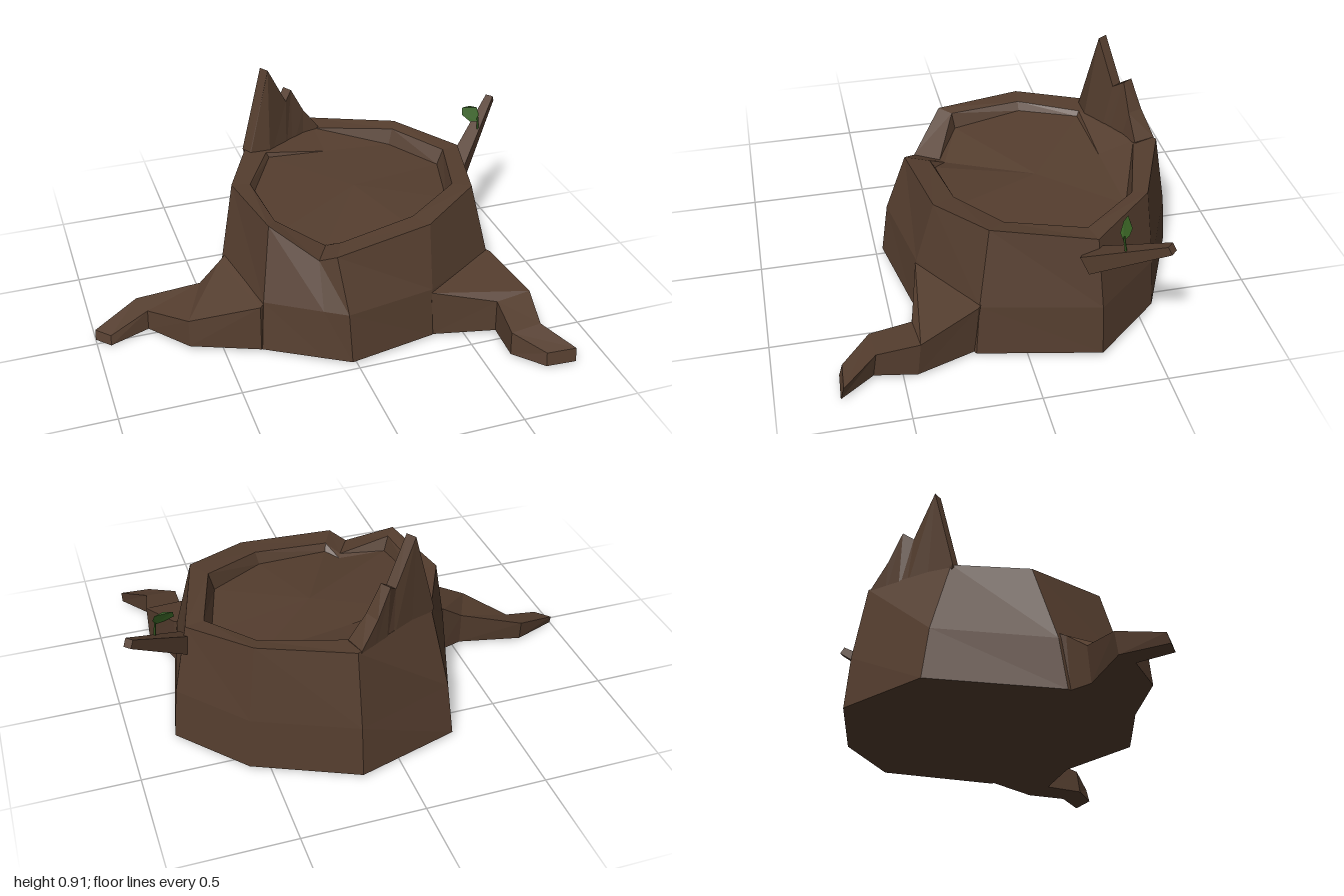
import * as THREE from 'three';

const bark = new THREE.MeshStandardMaterial({ color: 0x543d2e, flatShading: true });
bark.name = 'barkBrown';
const green = new THREE.MeshStandardMaterial({ color: 0x386224, flatShading: true, side: THREE.DoubleSide });
green.name = 'leafGreen';

// Skin a sequence of closed rings, each an array of [x, y, z]
function loft(rings) {
  const pos = [];
  for (let k = 0; k < rings.length - 1; k++) {
    const a = rings[k], b = rings[k + 1], n = a.length;
    for (let i = 0; i < n; i++) {
      const j = (i + 1) % n;
      pos.push(...a[i], ...b[i], ...b[j], ...a[i], ...b[j], ...a[j]);
    }
  }
  const g = new THREE.BufferGeometry();
  g.setAttribute('position', new THREE.Float32BufferAttribute(pos, 3));
  g.computeVertexNormals();
  return g;
}

const point = (n, p) => Array.from({ length: n }, () => p);
const mix = (a, b, t) => a.map((v, i) => v + (b[i] - v) * t);

// Close both ends of a four-cornered strip to its middle
function closedStrip(rings) {
  const mid = r => r.reduce((s, p) => s.map((v, i) => v + p[i] / r.length), [0, 0, 0]);
  const last = rings[rings.length - 1];
  return loft([point(4, mid(rings[0])), ...rings, point(4, mid(last))]);
}

function addMesh(parent, name, geometry, material) {
  const m = new THREE.Mesh(geometry, material);
  m.name = name;
  parent.add(m);
}

// Tapered stick between two points
function stick(from, to, r0, r1, sides) {
  const a = new THREE.Vector3(...from), b = new THREE.Vector3(...to);
  const d = b.clone().sub(a);
  const g = new THREE.CylinderGeometry(r1, r0, d.length(), sides);
  g.applyQuaternion(new THREE.Quaternion().setFromUnitVectors(new THREE.Vector3(0, 1, 0), d.normalize()));
  g.translate(...a.add(b).multiplyScalar(0.5).toArray());
  return g;
}

// Root: each section gives the top corner of its two sides; the foot leans forward a little
function root(sections, tipY) {
  return closedStrip(sections.map(([p, q], i) => {
    const y = i === sections.length - 1 ? tipY : 0.012;
    return [[p[0] - 0.004, y, p[2] + 0.014], p, q, [q[0] - 0.004, y, q[2] + 0.014]];
  }));
}

export function createModel() {
  const model = new THREE.Group();
  model.name = 'treeStump';

  // Trunk: ground outline, swelling, outer rim, inner rim, tilted hollow floor
  const base = [[-0.26, -0.63], [0.17, -0.76], [0.58, -0.57], [0.82, -0.29], [0.72, 0.2],
    [0.36, 0.40], [-0.02, 0.47], [-0.12, 0.41], [-0.35, 0.27], [-0.44, -0.1]].map(([x, z]) => [x, 0.012, z]);
  const rim = [[-0.2, 0.55, -0.49], [0.17, 0.55, -0.685], [0.53, 0.55, -0.53], [0.74, 0.52, -0.27],
    [0.63, 0.545, 0.13], [0.37, 0.505, 0.3], [-0.05, 0.46, 0.35], [-0.11, 0.425, 0.3],
    [-0.28, 0.54, 0.16], [-0.34, 0.545, -0.2]];
  const inner = [[-0.12, 0.545, -0.43], [0.155, 0.545, -0.59], [0.5, 0.54, -0.475], [0.66, 0.52, -0.25],
    [0.57, 0.53, 0.06], [0.33, 0.5, 0.21], [0, 0.46, 0.25], [-0.05, 0.425, 0.2],
    [-0.24, 0.53, 0.11], [-0.26, 0.54, -0.19]];
  const floor = [[-0.11, 0.525, -0.42], [0.16, 0.5, -0.44], [0.48, 0.47, -0.46], [0.63, 0.455, -0.24],
    [0.55, 0.455, 0.05], [0.32, 0.45, 0.19], [0.01, 0.43, 0.23], [-0.04, 0.415, 0.18],
    [-0.22, 0.465, 0.1], [-0.24, 0.505, -0.19]];
  const swell = base.map((p, i) => {
    const m = mix(p, rim[i], 0.25);
    return [m[0], 0.23, m[2]];
  });
  const n = base.length;
  addMesh(model, 'trunk', loft([
    point(n, [0.2, 0.012, -0.15]), base, swell, rim, inner, floor, point(n, [0.2, 0.47, -0.16]),
  ]), bark);

  // Broken spikes standing on the back of the rim: x, height, inner z, outer z
  const spikes = [[-0.2, 0.55, -0.45, -0.49], [-0.098, 0.914, -0.492, -0.53], [-0.005, 0.73, -0.535, -0.575],
    [0.03, 0.765, -0.57, -0.61], [0.09, 0.65, -0.58, -0.642], [0.165, 0.55, -0.59, -0.68]];
  addMesh(model, 'brokenSpikes', closedStrip(spikes.map(([x, h, zi, zo]) => [
    [x, 0.49, Math.min(-0.5 - 0.58 * x, -0.44)], [x + 0.012, h, zi], [x - 0.012, h, zo], [x, 0.5, -0.597 - 0.53 * x],
  ])), bark);

  // Roots
  addMesh(model, 'rightRoot', root([
    [[-0.38, 0.27, -0.13], [-0.28, 0.24, 0.2]],
    [[-0.43, 0.24, -0.1], [-0.35, 0.215, 0.255]],
    [[-0.53, 0.165, -0.07], [-0.63, 0.13, 0.14]],
    [[-0.8, 0.103, -0.13], [-0.77, 0.095, -0.035]],
    [[-0.996, 0.04, -0.045], [-0.94, 0.04, 0.015]],
  ], 0), bark);
  addMesh(model, 'leftRoot', root([
    [[0.36, 0.24, 0.3], [0.66, 0.25, 0.14]],
    [[0.36, 0.215, 0.38], [0.71, 0.235, 0.19]],
    [[0.635, 0.15, 0.44], [0.79, 0.165, 0.43]],
    [[0.625, 0.11, 0.61], [0.76, 0.12, 0.6]],
    [[0.73, 0.068, 0.73], [0.86, 0.068, 0.738]],
  ], 0.012), bark);

  // Side branch with a sprouting leaf
  addMesh(model, 'branch', stick([0.735, 0.42, -0.24], [0.985, 0.632, -0.466], 0.055, 0.024, 4), bark);
  const sprig = new THREE.Group();
  sprig.name = 'sprig';
  model.add(sprig);
  addMesh(sprig, 'stem', stick([0.87, 0.53, -0.337], [0.86, 0.615, -0.325], 0.005, 0.004, 4), green);

  // Leaf: leans back and curls away from its middle
  const outline = [[0.86, 0.595], [0.872, 0.625], [0.865, 0.652], [0.83, 0.665], [0.795, 0.66], [0.79, 0.63], [0.82, 0.602]];
  const leaf = new THREE.ShapeGeometry(new THREE.Shape(outline.map(p => new THREE.Vector2(...p))));
  const lp = leaf.attributes.position;
  for (let i = 0; i < lp.count; i++) {
    lp.setZ(i, -0.318 - (lp.getY(i) - 0.595) * 0.5 - Math.abs(lp.getX(i) - 0.83) * 0.2);
  }
  leaf.computeVertexNormals();
  addMesh(sprig, 'leaf', leaf, green);

  return model;
}
